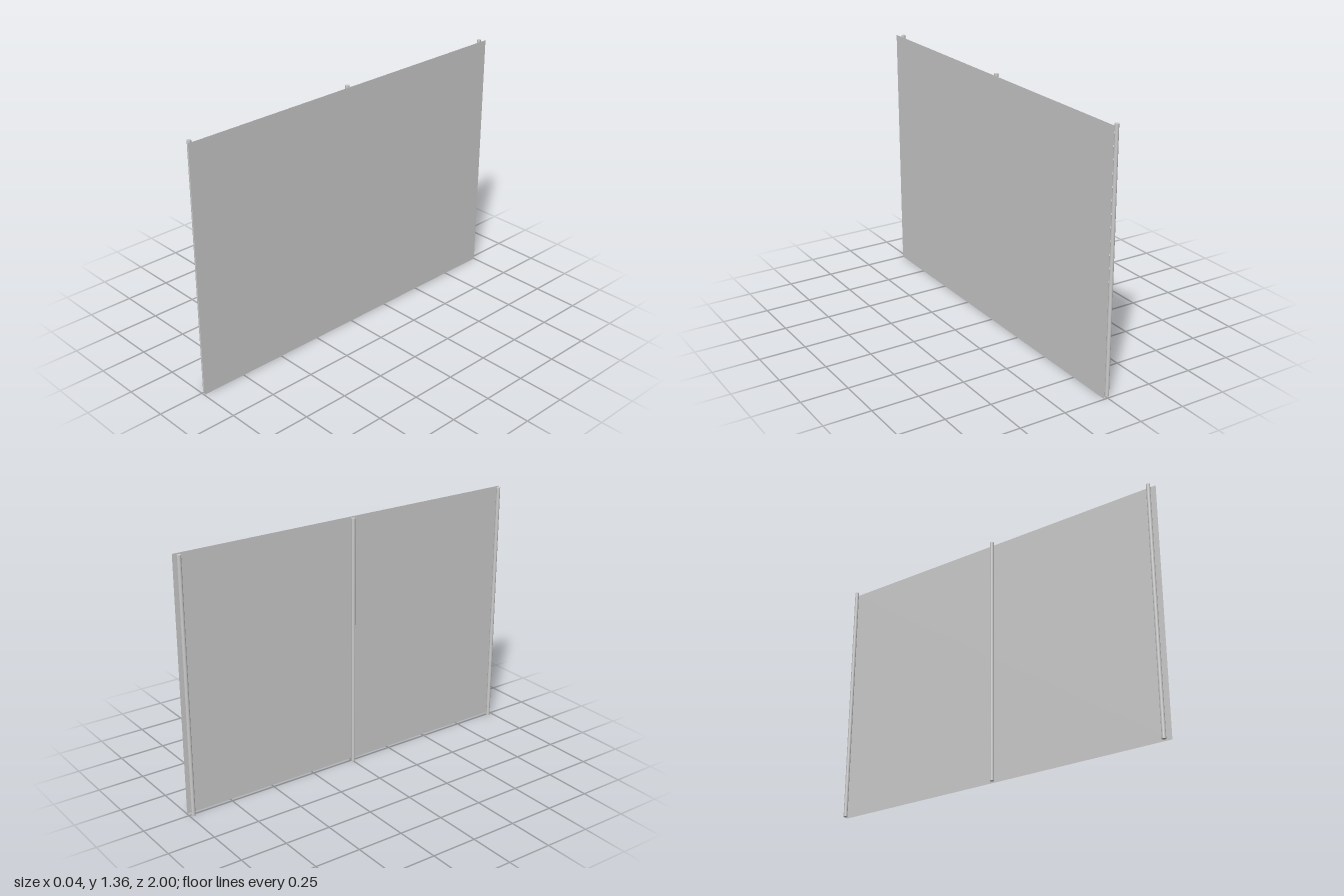
import * as THREE from 'three';

const HEIGHT = 1.362;

export function createModel() {
  const group = new THREE.Group();
  const grey = new THREE.MeshStandardMaterial({ color: 0xcccccc });
  const sheet = new THREE.MeshStandardMaterial({ color: 0xcccccc, side: THREE.DoubleSide });

  // thin flat panel facing +x
  const panel = new THREE.Mesh(new THREE.PlaneGeometry(2, HEIGHT), sheet);
  panel.name = 'panel';
  panel.rotation.y = Math.PI / 2;
  panel.position.set(0.02, HEIGHT / 2, 0);
  group.add(panel);

  // round posts standing just behind the panel
  const postGeometry = new THREE.CylinderGeometry(0.0105, 0.0105, HEIGHT, 24);
  const posts = { frontPost: 0.973, middlePost: 0.002, backPost: -0.98 };
  for (const [name, z] of Object.entries(posts)) {
    const post = new THREE.Mesh(postGeometry, grey);
    post.name = name;
    post.position.set(-0.0095, HEIGHT / 2, z);
    group.add(post);
  }
  return group;
}
